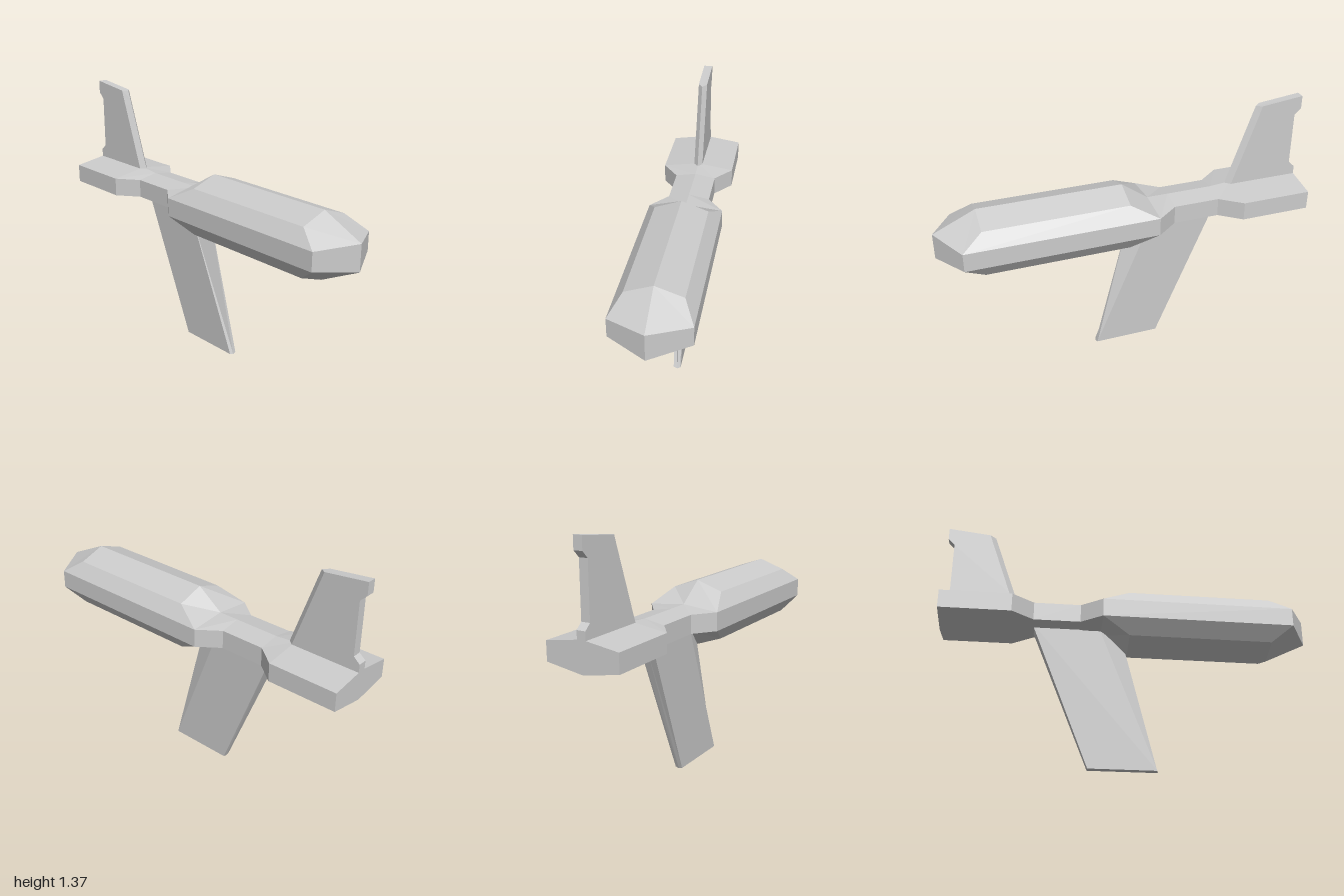
import * as THREE from 'three';

const material = new THREE.MeshStandardMaterial({ color: 0xcccccc, flatShading: true });

// Skins a closed solid over a list of rings of [x, y, z] points, with both ends capped
function loft(name, rings) {
  const pos = [];
  const tri = (...p) => {
    const [a, b, c] = p.map((q) => new THREE.Vector3(...q));
    if (new THREE.Triangle(a, b, c).getArea() > 1e-7) pos.push(...p.flat());
  };
  const n = rings[0].length;
  for (let i = 0; i < rings.length - 1; i++) {
    for (let j = 0; j < n; j++) {
      const k = (j + 1) % n;
      const a = rings[i][j], b = rings[i][k], c = rings[i + 1][k], d = rings[i + 1][j];
      tri(a, b, d);
      tri(b, c, d);
    }
  }
  const first = rings[0], last = rings[rings.length - 1];
  for (let j = 1; j < n - 1; j++) {
    tri(first[0], first[j + 1], first[j]);
    tri(last[0], last[j], last[j + 1]);
  }
  const geometry = new THREE.BufferGeometry();
  geometry.setAttribute('position', new THREE.Float32BufferAttribute(pos, 3));
  geometry.computeVertexNormals();
  const mesh = new THREE.Mesh(geometry, material);
  mesh.name = name;
  return mesh;
}

// Completes a half ring (first and last point on the centre line) by mirroring in x
function mirrorRing(half) {
  const other = half.slice(1, -1).reverse().map(([x, y, z]) => [-x, y, z]);
  return [...half, ...other];
}

// Hull section: ridge, shoulder, straight side, lower shoulder, keel
function hullRing({ w, top, bottom, z, zSide = z, shoulder }) {
  const upper = shoulder ? [shoulder, 0.96, z] : [w, 0.885, zSide];
  const lower = shoulder ? [shoulder, 0.705, z] : [w, 0.785, zSide];
  return mirrorRing([
    [0, top, z], upper, [w, 0.885, zSide],
    [w, 0.785, zSide], lower, [0, bottom, z],
  ]);
}

// Blade section with a pointed leading edge and a blunt trailing edge
function bladeRing(w, [yLead, zLead], [yShoulder, zShoulder], [yBack, zBack], yBackMid = yBack) {
  return mirrorRing([
    [0, yLead, zLead], [w, yShoulder, zShoulder], [w, yBack, zBack], [0, yBackMid, zBack],
  ]);
}

export function createModel() {
  const group = new THREE.Group();
  group.name = 'finnedPod';

  // Hull: pointed nose, bulging body, narrow neck, flared tail
  const hull = loft('hull', [
    { w: 0.2, top: 0.905, bottom: 0.765, z: 1, zSide: 0.885 },
    { w: 0.2, top: 1.01, bottom: 0.655, z: 0.775, zSide: 0.885, shoulder: 0.143 },
    { w: 0.2, top: 1.01, bottom: 0.655, z: 0.005, zSide: -0.14, shoulder: 0.143 },
    { w: 0.2, top: 0.905, bottom: 0.765, z: -0.14 },
    { w: 0.112, top: 0.905, bottom: 0.765, z: -0.255 },
    { w: 0.112, top: 0.905, bottom: 0.765, z: -0.505 },
    { w: 0.2, top: 0.915, bottom: 0.752, z: -0.62 },
    { w: 0.2, top: 0.915, bottom: 0.752, z: -1 },
  ].map(hullRing));

  // Swept strut under the neck
  const strut = loft('lowerStrut', [
    bladeRing(0.02, [0, 0.165], [0.006, 0.16], [0.006, -0.198], 0),
    bladeRing(0.042, [0.8, -0.037], [0.8, -0.155], [0.8, -0.512]),
  ]);

  // Upright fin with a notched trailing edge
  const lead = (y) => -0.59 - 0.349 * (y - 0.915);
  const levels = [[0.9, -1], [0.955, -1], [0.985, -0.965], [1.27, -0.965], [1.305, -1]];
  const fin = loft('tailFin', [
    ...levels.map(([y, zBack]) =>
      bladeRing(0.024, [y, lead(y)], [y, lead(y) - 0.03], [y, zBack])),
    bladeRing(0.024, [1.343, -0.74], [1.347, -0.77], [1.373, -1]),
  ]);

  group.add(hull, strut, fin);
  return group;
}
